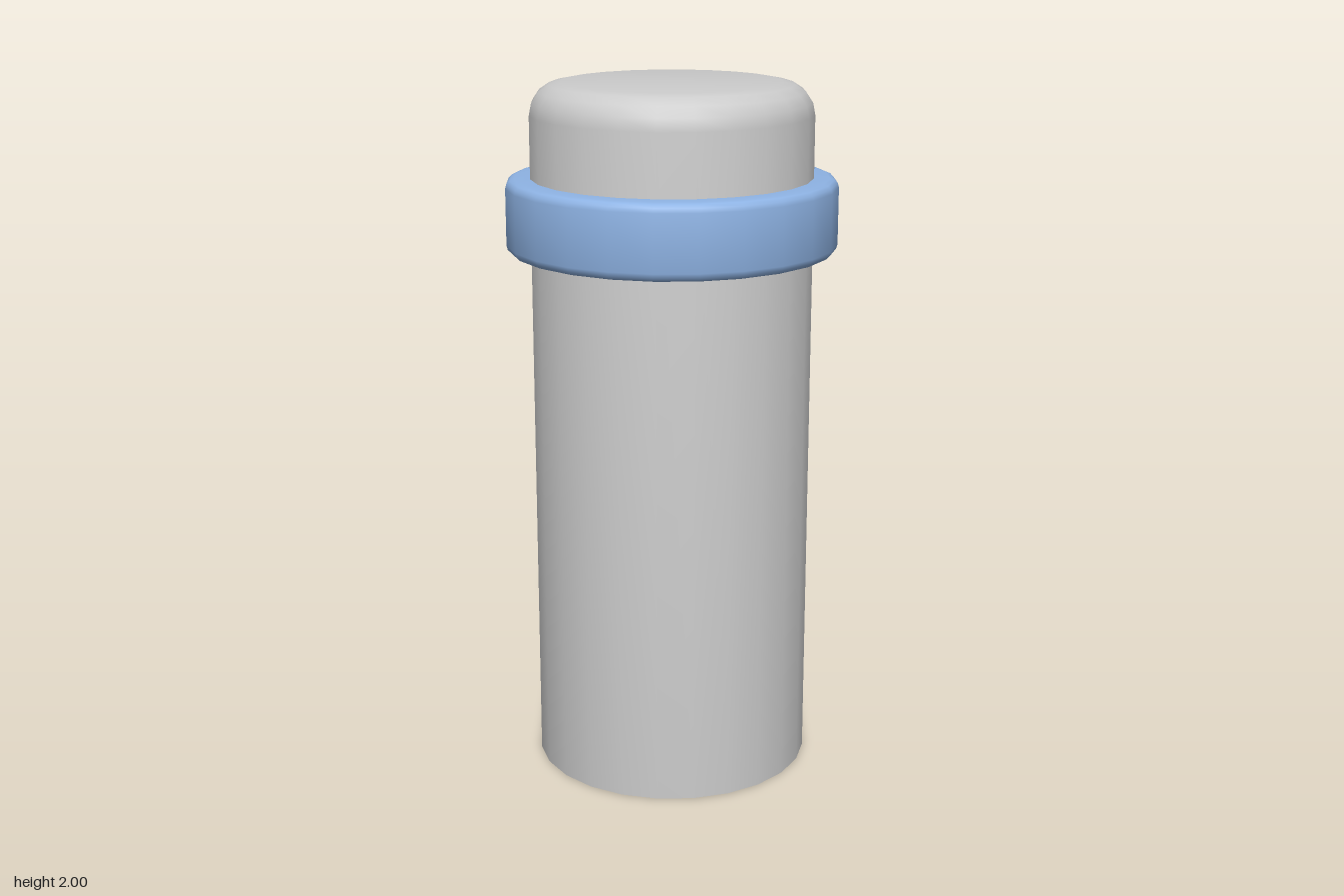
import * as THREE from 'three';
import { toCreasedNormals } from 'three/addons/utils/BufferGeometryUtils.js';

const SIDES = 24;

// Points of a quarter-round corner around (cx, cy), from angle a0 over 90 degrees
function corner(cx, cy, r, a0, steps) {
  const pts = [];
  for (let i = 0; i <= steps; i++) {
    const a = a0 + (i / steps) * Math.PI / 2;
    pts.push(new THREE.Vector2(cx + r * Math.cos(a), cy + r * Math.sin(a)));
  }
  return pts;
}

function turned(name, profile, color) {
  const geometry = toCreasedNormals(new THREE.LatheGeometry(profile, SIDES), 0.7);
  const mesh = new THREE.Mesh(geometry, new THREE.MeshStandardMaterial({ color }));
  mesh.name = name;
  return mesh;
}

export function createModel() {
  const group = new THREE.Group();
  group.name = 'bollard';
  const v = (x, y) => new THREE.Vector2(x, y);

  // Post: flat base, straight side, rounded top edge
  group.add(turned('post', [
    v(0, 0), v(0.4, 0),
    ...corner(0.31, 1.91, 0.09, 0, 4),
    v(0, 2),
  ], 0xcccccc));

  // Collar: band with softly rounded outer edges, closed on the inside
  group.add(turned('collar', [
    v(0.39, 1.525),
    ...corner(0.445, 1.55, 0.025, -Math.PI / 2, 3),
    ...corner(0.445, 1.71, 0.025, 0, 3),
    v(0.39, 1.735), v(0.39, 1.525),
  ], 0x8eb3e4));

  return group;
}
